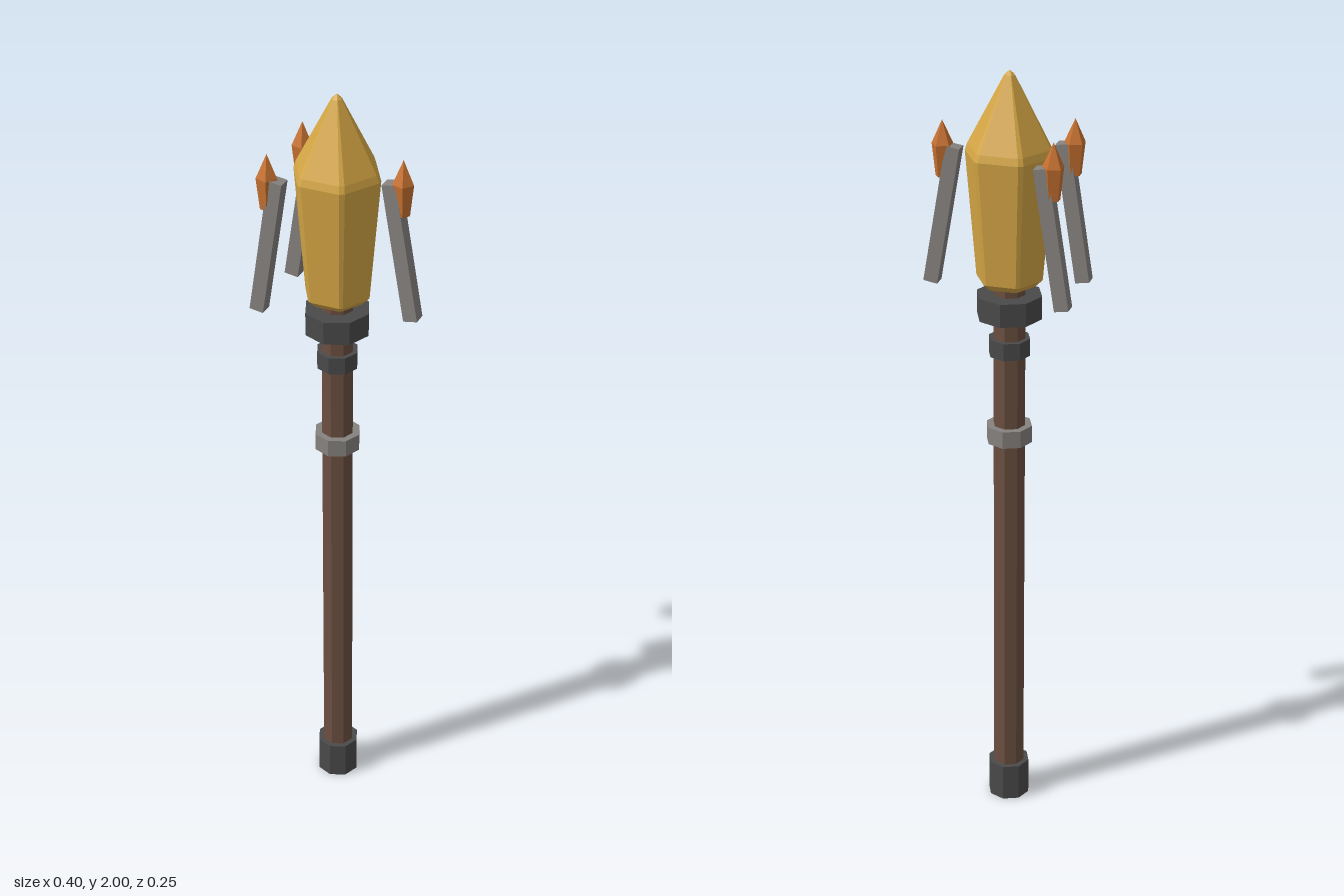
import * as THREE from 'three';
import { ConvexGeometry } from 'three/addons/geometries/ConvexGeometry.js';

const material = (name, color) => {
  const m = new THREE.MeshStandardMaterial({ color, flatShading: true });
  m.name = name;
  return m;
};

export function createModel() {
  const wood = material('brown wood', 0x6b5040);
  const iron = material('dark iron', 0x4b4a4a);
  const steel = material('light steel', 0x86827f);
  const gold = material('golden crystal', 0xd5a645);
  const copper = material('orange crystal', 0xc87230);

  const group = new THREE.Group();
  group.name = 'staff';
  const axisX = -0.02;

  const add = (parent, name, geometry, mat, x = 0, y = 0, z = 0) => {
    const mesh = new THREE.Mesh(geometry, mat);
    mesh.name = name;
    mesh.position.set(x, y, z);
    parent.add(mesh);
    return mesh;
  };

  // Octagonal shaft and its fittings: name, radius, bottom, top, material
  for (const [name, radius, bottom, top, mat] of [
    ['shaft', 0.041, 0.02, 1.48, wood],
    ['pommel', 0.055, 0, 0.1, iron],
    ['gripRing', 0.059, 1.045, 1.09, steel],
    ['lowerCollar', 0.053, 1.28, 1.325, iron],
    ['upperCollar', 0.083, 1.38, 1.44, iron],
  ]) {
    const geometry = new THREE.CylinderGeometry(radius, radius, top - bottom, 8);
    add(group, name, geometry, mat, axisX, (bottom + top) / 2, 0);
  }

  // Large six-sided crystal with narrow bevels along its edges
  const points = [new THREE.Vector3(0, 2, 0)];
  const rings = [[0.066, 1.465], [0.083, 1.482], [0.109, 1.785], [0.11, 1.797], [0.104, 1.815], [0.013, 1.988]];
  for (const [radius, y] of rings) {
    for (let i = 0; i < 6; i++) {
      for (const bevel of [-0.06, 0.06]) {
        const a = i * Math.PI / 3 + bevel;
        points.push(new THREE.Vector3(radius * Math.cos(a), y, radius * Math.sin(a)));
      }
    }
  }
  add(group, 'mainCrystal', new ConvexGeometry(points), gold, axisX);

  // Three leaning prongs, each with a small five-sided crystal
  const spikeProfile = [[0, 1.725], [0.018, 1.725], [0.027, 1.805], [0, 1.865]]
    .map(([r, y]) => new THREE.Vector2(r, y));
  const spikeGeometry = new THREE.LatheGeometry(spikeProfile, 5, Math.PI / 2);
  const barGeometry = new THREE.BoxGeometry(0.036, 0.353, 0.035);
  for (const [x, z, lean] of [[0.148, 0, 0.17], [-0.155, 0.098, -0.155], [-0.155, -0.1, -0.155]]) {
    const prong = new THREE.Group();
    prong.name = 'prong';
    prong.position.set(x, 0, z);
    add(prong, 'prongBar', barGeometry, steel, 0, 1.628, 0).rotation.z = lean;
    add(prong, 'prongCrystal', spikeGeometry, copper);
    group.add(prong);
  }

  return group;
}
